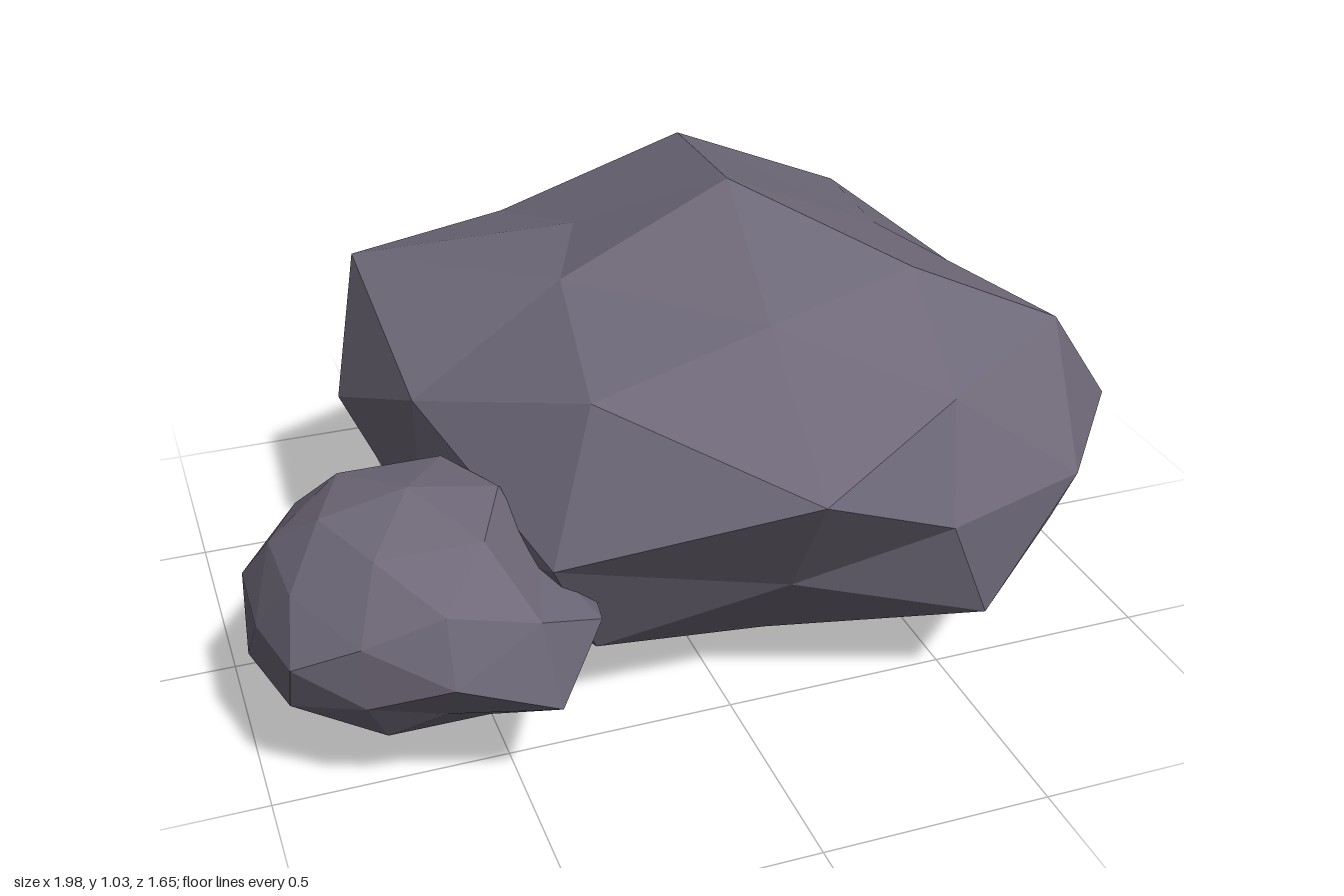
import * as THREE from 'three';

// Radius of each corner of a subdivided icosahedron. Corners are grouped by the
// size of their x, y, z (in tenths); within a group they run from + to - signs.
const LARGE = {
  '10,0,0': [0.96, 1.05], '0,10,0': [1.06, 1.0], '0,0,10': [1.19, 1.0],
  '9,0,5': [0.9, 1.07, 1.08, 1.1],
  '5,9,0': [0.95, 1.06, 0.84, 0.88],
  '0,5,9': [1.11, 1.12, 1.1, 0.96],
  '3,8,5': [0.88, 0.88, 0.92, 0.92, 0.92, 1.13, 0.97, 0.92],
  '8,5,3': [0.86, 1.0, 1.02, 1.05, 1.18, 1.0, 1.0, 1.0],
  '5,3,8': [1.15, 0.97, 0.85, 1.1, 1.06, 0.96, 1.05, 1.13],
};
const SMALL = {
  '10,0,0': [1.03, 0.92], '0,10,0': [0.98, 0.88], '0,0,10': [0.98, 1.0],
  '9,0,5': [1.12, 1.0, 0.95, 1.07],
  '5,9,0': [1.0, 1.02, 0.98, 1.02],
  '0,5,9': [1.0, 1.0, 0.85, 1.0],
  '3,8,5': [1.0, 1.0, 0.97, 0.97, 1.0, 1.0, 0.97, 0.97],
  '8,5,3': [0.84, 0.9, 1.0, 1.0, 0.92, 0.95, 1.0, 1.17],
  '5,3,8': [1.05, 1.0, 1.2, 1.0, 0.9, 1.05, 0.88, 1.05],
};

// Push every corner in or out along its own direction, then stretch the rock
function rockGeometry(radii, size, turn) {
  const geo = new THREE.IcosahedronGeometry(1, 1);
  const pos = geo.attributes.position;
  const v = new THREE.Vector3();
  for (let i = 0; i < pos.count; i++) {
    v.fromBufferAttribute(pos, i).normalize();
    const tenths = v.toArray().map((n) => Math.round(Math.abs(n) * 10));
    let index = 0;
    v.toArray().forEach((n, k) => {
      if (tenths[k] > 0) index = index * 2 + (n < 0 ? 1 : 0);
    });
    v.multiplyScalar(radii[tenths.join(',')][index]);
    pos.setXYZ(i, v.x, v.y, v.z);
  }
  geo.scale(...size);
  geo.rotateY(turn);
  geo.computeVertexNormals(); // unshared corners give flat facets
  return geo;
}

export function createModel() {
  const group = new THREE.Group();
  group.name = 'rocks';
  const stone = new THREE.MeshStandardMaterial({ color: 0x6e6878, flatShading: true });
  stone.name = 'grey stone';

  const addRock = (name, radii, size, turn, position) => {
    const mesh = new THREE.Mesh(rockGeometry(radii, size, turn), stone);
    mesh.name = name;
    mesh.position.set(...position);
    group.add(mesh);
  };
  addRock('largeRock', LARGE, [0.86, 0.5, 0.69], -Math.PI / 4, [0.16, 0.5, 0.02]);
  addRock('smallRock', SMALL, [0.35, 0.26, 0.35], 0, [-0.66, 0.38, 0.41]);
  return group;
}
